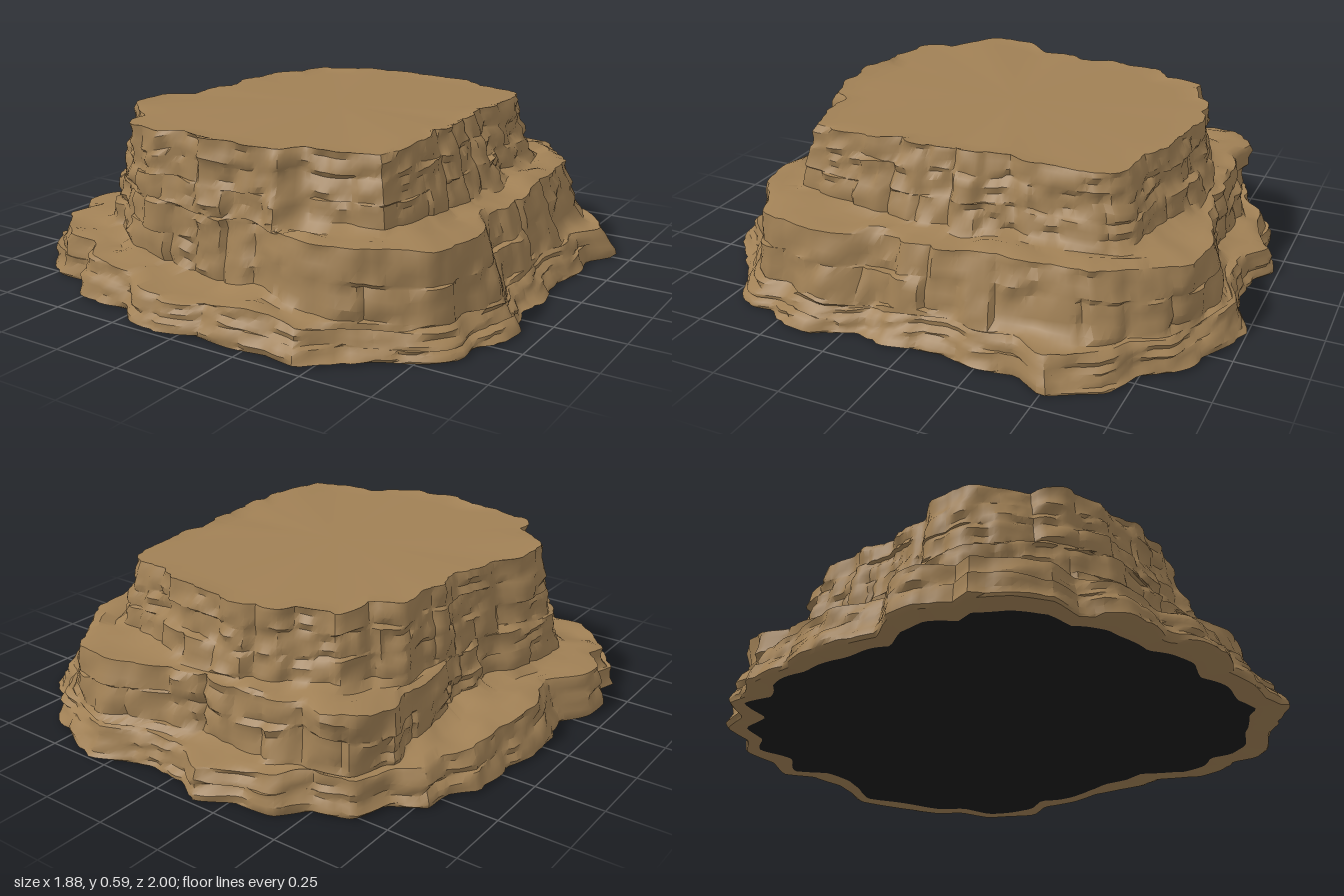
import * as THREE from 'three';
import { toCreasedNormals } from 'three/addons/utils/BufferGeometryUtils.js';

const SEG = 260;

// Plan outlines as x, z corners, running from +x round through +z
const base = outline([.88, 0, .89, .1, .86, .2, .92, .33, .94, .36, .92, .47, .86, .55, .87, .65, .8, .73,
  .66, .8, .58, .86, .5, .92, .46, .97, .33, .95, .2, .97, .05, .95, -.08, .99, -.2, .96, -.28, .9, -.4, .9,
  -.5, .88, -.6, .78, -.72, .78, -.83, .7, -.9, .58, -.87, .52, -.94, .42, -.94, .3, -.87, .2, -.9, .05,
  -.91, -.05, -.88, -.2, -.87, -.38, -.8, -.47, -.8, -.58, -.68, -.65, -.64, -.78, -.5, -.82, -.42, -.92,
  -.27, -.93, -.15, -1, -.05, -.93, .1, -.92, .2, -.95, .32, -1, .45, -.95, .55, -.9, .65, -.85, .72, -.75,
  .85, -.7, .89, -.62, .95, -.51, .88, -.4, .9, -.25, .87, -.12]);
const ledge = outline([.73, .03, .73, .2, .79, .35, .8, .5, .77, .63, .67, .68, .56, .75, .4, .78, .27, .77,
  .19, .73, .03, .72, -.18, .73, -.39, .7, -.5, .63, -.59, .54, -.7, .4, -.69, .24, -.62, .08, -.59, -.13,
  -.63, -.3, -.62, -.48, -.66, -.57, -.64, -.7, -.5, -.78, -.42, -.74, -.23, -.79, -.02, -.77, .14, -.8,
  .3, -.87, .5, -.85, .62, -.7, .71, -.5, .7, -.34, .72, -.15]);
const top = outline([.52, 0, .52, .2, .53, .45, .51, .55, .39, .57, .24, .6, .2, .67, .12, .7, 0, .68, -.1, .69,
  -.2, .67, -.3, .69, -.38, .66, -.45, .63, -.5, .53, -.6, .45, -.66, .38, -.65, .22, -.58, .15, -.57, .05,
  -.54, -.05, -.56, -.15, -.52, -.25, -.54, -.38, -.46, -.45, -.42, -.58, -.3, -.62, -.25, -.66, -.15, -.67,
  -.02, -.68, .1, -.68, .2, -.65, .3, -.61, .44, -.6, .49, -.55, .5, -.4, .5, -.2]);

// Height of the lower shelf every 15 degrees
const SHELF = [.1, .09, .09, .09, .1, .11, .12, .13, .14, .15, .16, .16,
  .16, .15, .14, .13, .12, .12, .11, .11, .11, .11, .11, .1];

// Turns corners into a function giving the radius at t (0..1 round the rock)
function outline(xz) {
  const pts = [];
  for (let i = 0; i < xz.length; i += 2) {
    const turn = Math.atan2(xz[i + 1], xz[i]) / (Math.PI * 2);
    pts.push([(turn + 1) % 1, Math.hypot(xz[i], xz[i + 1])]);
  }
  pts.sort((p, q) => p[0] - q[0]);
  const last = pts[pts.length - 1], first = pts[0];
  pts.unshift([last[0] - 1, last[1]]);
  pts.push([first[0] + 1, first[1]]);
  return t => {
    const k = pts.findIndex(p => p[0] > t), [t0, r0] = pts[k - 1], [t1, r1] = pts[k];
    return THREE.MathUtils.mapLinear(t, t0, t1, r0, r1);
  };
}
function shelfHeight(t) {
  const u = t * SHELF.length, k = Math.floor(u);
  return THREE.MathUtils.lerp(SHELF[k], SHELF[(k + 1) % SHELF.length], u - k);
}
function hash(a, b) {
  const s = Math.sin(a * 127.1 + b * 311.7 + 17.3) * 43758.5453;
  return (s - Math.floor(s)) * 2 - 1;
}
// Smooth noise that wraps round the rock
function wave(t, cells, seed) {
  const u = t * cells, k = Math.floor(u), f = THREE.MathUtils.smoothstep(u - k, 0, 1);
  return THREE.MathUtils.lerp(hash(k % cells, seed), hash((k + 1) % cells, seed), f);
}
// Chiselled blocks with a notch at each joint
function block(t, layer) {
  const cells = 30 + (layer * 7) % 11, u = t * cells, k = Math.floor(u), f = u - k;
  const step = THREE.MathUtils.smoothstep(f, .7, 1);
  const notch = Math.max(0, 1 - Math.abs(f - .85) / .15);
  return THREE.MathUtils.lerp(hash(k % cells, layer), hash((k + 1) % cells, layer), step) - notch * .6;
}
// How far a direction faces +x or +z
const toLeft = t => Math.max(0, Math.cos(t * Math.PI * 2));
const toFront = t => Math.max(0, Math.sin(t * Math.PI * 2));

// Each row is a function of t giving [radius, height]
function rockRows() {
  const rows = [];
  const shelfY = t => shelfHeight(t) + wave(t, 24, 9) * .018;
  const ledgeY = t => .335 + wave(t, 20, 11) * .014;
  const topY = t => .592 + wave(t, 34, 13) * .008;
  let layer = 0;

  // A wall of stacked strata from one outline to another, split by tall cracks
  function wall(r0, y0, r1, y1, strata, amount) {
    const cracks = 100 + layer;
    for (let s = 0; s < strata; s++) {
      const id = ++layer;
      for (const f of [.06, .35, .65, .94]) {
        const v = (s + f) / strata, inside = v > .1 && v < .9;
        rows.push(t => [
          THREE.MathUtils.lerp(r0(t), r1(t), v) + (block(t, id) * .6 + block(t, cracks) * .7) * amount
            + wave(t, 64, id * 5 + f * 10) * .011,
          THREE.MathUtils.lerp(y0(t), y1(t), v) + (inside ? wave(t, 30, id + 40) * .012 : 0)
        ]);
      }
    }
  }
  // Uneven ground across a shelf
  function shelf(r0, r1, y, seed) {
    for (const f of [.35, .75]) rows.push(t => [
      THREE.MathUtils.lerp(r0(t), r1(t), f) + wave(t, 40, seed) * .012,
      y(t) + wave(t, 44, seed + f) * .016
    ]);
  }
  const baseTop = t => base(t) - .05 - .02 * toLeft(t);
  const ledgeFoot = t => Math.min(ledge(t) + .025 + .07 * toLeft(t), baseTop(t) - .01);
  const topFoot = t => Math.min(top(t) + .05 + .03 * toLeft(t), ledge(t) - .008);

  rows.push(t => [base(t) - .08 - .04 * toFront(t) + wave(t, 40, 21) * .025, .004]);
  rows.push(t => [base(t) - .015, 0]);
  wall(base, () => .005, baseTop, shelfY, 2, .013);
  shelf(baseTop, ledgeFoot, shelfY, 61);
  wall(ledgeFoot, t => shelfY(t) + .008, ledge, ledgeY, 2, .018);
  shelf(ledge, topFoot, ledgeY, 71);
  wall(topFoot, t => ledgeY(t) + .008, top, topY, 3, .016);
  // Nearly flat summit
  for (const f of [.95, .85, .6, .3, 0]) rows.push(t => [
    top(t) * f, .585 + wave(t, 20, 80) * .008 * f * f
  ]);
  return rows;
}

function indexedGeometry(pos, index) {
  const geo = new THREE.BufferGeometry();
  geo.setAttribute('position', new THREE.Float32BufferAttribute(pos, 3));
  geo.setIndex(index);
  geo.computeVertexNormals();
  return geo;
}

// Rings joined from the underside lip up to the middle of the summit
function rockGeometry() {
  const rows = rockRows(), pos = [], index = [];
  rows.forEach((row, i) => {
    for (let j = 0; j < SEG; j++) {
      const t = j / SEG, a = t * Math.PI * 2, [r, y] = row(t);
      pos.push(Math.cos(a) * r, y, Math.sin(a) * r);
      if (i === rows.length - 1) continue;
      const k = (j + 1) % SEG, p = i * SEG + j, q = i * SEG + k;
      index.push(p, p + SEG, q);
      if (i < rows.length - 2) index.push(q, p + SEG, q + SEG);
    }
  });
  return indexedGeometry(pos, index);
}

// Flat underside following the first ring of the rock
function undersideGeometry(rock) {
  const p = rock.attributes.position, pos = [0, .004, 0], index = [];
  for (let j = 0; j < SEG; j++) {
    pos.push(p.getX(j), p.getY(j), p.getZ(j));
    index.push(0, j + 1, (j + 1) % SEG + 1);
  }
  return indexedGeometry(pos, index);
}

export function createModel() {
  const sandstone = new THREE.MeshStandardMaterial({ color: 0xa08055 });
  sandstone.name = 'sandstone';
  const shadowBlack = new THREE.MeshStandardMaterial({ color: 0x1c1c1c });
  shadowBlack.name = 'underside black';

  const rock = rockGeometry();
  const group = new THREE.Group();
  group.name = 'rockPlateau';
  const body = new THREE.Mesh(toCreasedNormals(rock, .7), sandstone);
  body.name = 'rockBody';
  const underside = new THREE.Mesh(undersideGeometry(rock), shadowBlack);
  underside.name = 'underside';
  group.add(body, underside);
  return group;
}
